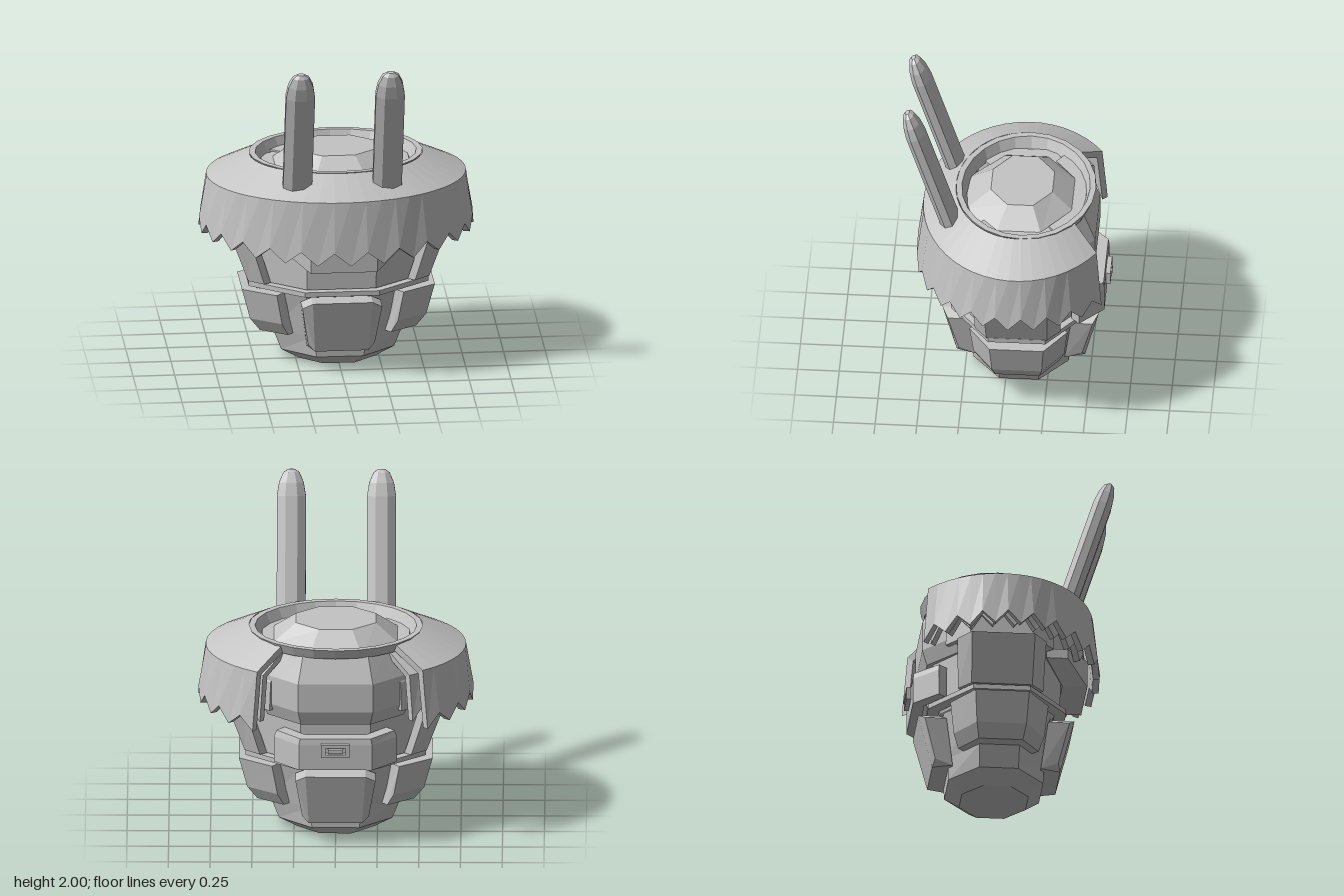
import * as THREE from 'three';
import { ConvexGeometry } from 'three/addons/geometries/ConvexGeometry.js';

const CZ = -0.085; // depth of the head's axis
const rad = THREE.MathUtils.degToRad;

// Sweeps a closed [y, halfWidth, halfDepth] profile around the head's axis.
// Angles run in degrees from the front towards +x; octagonal unless round.
function sweep(profile, angles, { round = false, closed = false } = {}) {
  const at = typeof profile === 'function' ? profile : () => profile;
  const n = at(0).length, pos = [], idx = [];
  angles.forEach((a, j) => {
    const k = round ? 1 : 1 / Math.cos(rad(a - 45 * Math.round(a / 45)));
    for (const [y, rx, rz] of at(j)) {
      pos.push(rx * k * Math.sin(rad(a)), y, CZ + rz * k * Math.cos(rad(a)));
    }
  });
  const last = angles.length - 1;
  for (let j = 0; j < last; j++) {
    for (let i = 0; i < n; i++) {
      const i2 = (i + 1) % n;
      const a = j * n + i, b = a + n, c = (j + 1) * n + i2, d = j * n + i2;
      idx.push(a, b, c, a, c, d);
    }
  }
  if (!closed) {
    const outline = at(0).map(([y, rx]) => new THREE.Vector2(rx, y));
    for (const [a, b, c] of THREE.ShapeUtils.triangulateShape(outline, [])) {
      idx.push(a, b, c, last * n + a, last * n + c, last * n + b);
    }
  }
  const g = new THREE.BufferGeometry();
  g.setAttribute('position', new THREE.Float32BufferAttribute(pos, 3));
  g.setIndex(idx);
  const flat = g.toNonIndexed();
  flat.computeVertexNormals();
  return flat;
}

// Gives outer rows (bottom to top) a wall thickness
const wall = (rows, t) => [
  ...rows, ...rows.map(([y, rx, rz]) => [y, rx - t, rz - t]).reverse(),
];

// Convex block from the points of one half, mirrored in x
const block = (points) => new ConvexGeometry(points.flatMap(([x, y, z]) => [
  new THREE.Vector3(x, y, z), new THREE.Vector3(-x, y, z),
]));

export function createModel() {
  const model = new THREE.Group();
  model.name = 'armouredHead';
  const grey = new THREE.MeshStandardMaterial({ color: 0xc4c4c4 });
  grey.name = 'grey';
  grey.flatShading = true;
  grey.side = THREE.DoubleSide;

  const add = (name, geometry) => {
    const mesh = new THREE.Mesh(geometry, grey);
    mesh.name = name;
    model.add(mesh);
    return mesh;
  };
  const octagon = Array.from({ length: 9 }, (_, i) => 22.5 + i * 45);

  // Faceted core, closed at top and bottom
  add('core', sweep([
    [0, 0, 0], [0, 0.23, 0.2], [0.07, 0.34, 0.285], [0.2, 0.39, 0.29],
    [0.47, 0.5, 0.32], [0.48, 0.47, 0.34], [0.53, 0.47, 0.36],
    [0.53, 0.5, 0.38], [0.82, 0.51, 0.385], [0.84, 0.51, 0.4],
    [1.02, 0.5, 0.41], [1.2, 0.38, 0.33], [1.31, 0.24, 0.185], [1.31, 0, 0],
  ], octagon, { closed: true }));

  // Thin belt around the middle
  add('belt', sweep(wall([[0.495, 0.54, 0.415], [0.525, 0.54, 0.415]], 0.1),
    octagon, { closed: true }));

  // Side armour, mirrored left and right
  const sidePlates = [
    ['lowerSidePlate', [[0.2, 0.47, 0.32], [0.28, 0.53, 0.36], [0.47, 0.58, 0.39]], 0.08, 49],
    ['upperSidePlate', [[0.53, 0.545, 0.44], [0.82, 0.65, 0.46]], 0.05, 35],
    ['crownSidePlate', [[0.84, 0.56, 0.46], [1.02, 0.55, 0.45], [1.21, 0.44, 0.36]], 0.07, 45],
  ];
  for (const [name, rows, t, spread] of sidePlates) {
    for (const mid of [90, 270]) {
      add(name, sweep(wall(rows, t), [mid - spread, mid - 22.5, mid + 22.5, mid + spread]));
    }
  }

  // Bulging plate that fills the collar's rear opening
  add('crownBackPlate', sweep(wall([
    [0.79, 0.5, 0.42], [0.88, 0.54, 0.45], [1.06, 0.54, 0.45], [1.22, 0.47, 0.38],
  ], 0.08), [126, 141, 157.5, 202.5, 219, 234]));

  // Sloping plates at the lower front and back
  const slope = [
    [0.18, 0.47, 0.385], [0.24, 0.43, 0.35], [0.2, 0.18, 0.285], [0.16, 0.14, 0.3],
    [0.18, 0.47, 0.26], [0.24, 0.43, 0.22], [0.2, 0.14, 0.18],
  ];
  add('lowerFrontPlate', block(slope));
  add('lowerBackPlate', block(slope.map(([x, y, z]) => [x, y, 2 * CZ - z])));

  // Brow under the fringe
  add('brow', block([
    [0.2, 0.69, 0.46], [0.2, 0.69, 0.31], [0.2, 0.86, 0.46],
    [0.36, 0.8, 0.33], [0.36, 0.86, 0.33], [0.36, 0.8, 0.2], [0.36, 0.86, 0.2],
  ]));

  // Rear guard with its small framed catch
  add('rearGuard', sweep(wall([[0.53, 0.53, 0.505], [0.69, 0.53, 0.505], [0.73, 0.51, 0.5]], 0.07),
    [136, 157.5, 202.5, 224]));
  const catchFrame = new THREE.Shape();
  const rect = (w, h) => [[-w, -h], [w, -h], [w, h], [-w, h]].map(([x, y]) => new THREE.Vector2(x, y));
  catchFrame.setFromPoints(rect(0.085, 0.04));
  catchFrame.holes.push(new THREE.Path(rect(0.06, 0.02)));
  const frame = add('catchFrame', new THREE.ExtrudeGeometry(catchFrame, { depth: 0.03, bevelEnabled: false }));
  frame.position.set(0, 0.66, -0.617);
  const bar = add('catchBar', new THREE.BoxGeometry(0.09, 0.025, 0.04));
  bar.position.set(0, 0.66, -0.603);

  // Flared collar and its liner, with a jagged hem that rises at the sides
  const steps = 40;
  const arc = (from, to) => Array.from({ length: steps + 1 }, (_, i) => from + ((to - from) * i) / steps);
  const collarAngles = arc(-138, 143);
  const hemAt = (j) => (j % 2 ? 0.84 : 0.76) + 0.05 * Math.sin(rad(collarAngles[j])) ** 2;
  add('collar', sweep((j) => {
    const hem = hemAt(j);
    return [
      [hem, 0.825, 0.635], [1.15, 0.78, 0.595], [1.27, 0.52, 0.4],
      [1.23, 0.5, 0.38], [1.12, 0.74, 0.555], [hem, 0.785, 0.595],
    ];
  }, collarAngles, { round: true }));
  add('collarLiner', sweep((j) => {
    const hem = hemAt(j) + 0.03;
    return [
      [hem, 0.72, 0.55], [1.1, 0.69, 0.52], [1.21, 0.5, 0.38],
      [1.18, 0.48, 0.36], [1.08, 0.65, 0.48], [hem, 0.68, 0.51],
    ];
  }, arc(-140, 141), { round: true }));

  // Rim ring round the crown, sloping down inwards
  const circle = Array.from({ length: 25 }, (_, i) => i * 15);
  const rim = add('crownRim', sweep([
    [1.2, 0.45, 0.355], [1.21, 0.49, 0.395], [1.273, 0.522, 0.42], [1.273, 0.485, 0.385],
  ], circle, { round: true, closed: true }));
  rim.position.z = -0.02;

  // Pair of tall ears leaning forward
  const earProfile = [[0, 0], [0.094, 0], [0.094, 0.67], [0.08, 0.75], [0.052, 0.81], [0.022, 0.83], [0, 0.83]]
    .map(([r, y]) => new THREE.Vector2(r, y));
  for (const side of [-1, 1]) {
    const g = new THREE.LatheGeometry(earProfile, 8);
    g.rotateY(Math.PI / 8);
    g.scale(1, 1, 0.66);
    const ear = add(side > 0 ? 'leftEar' : 'rightEar', g);
    ear.position.set(side * 0.27, 1.21, 0.335);
    ear.rotation.x = 0.312;
  }
  return model;
}
